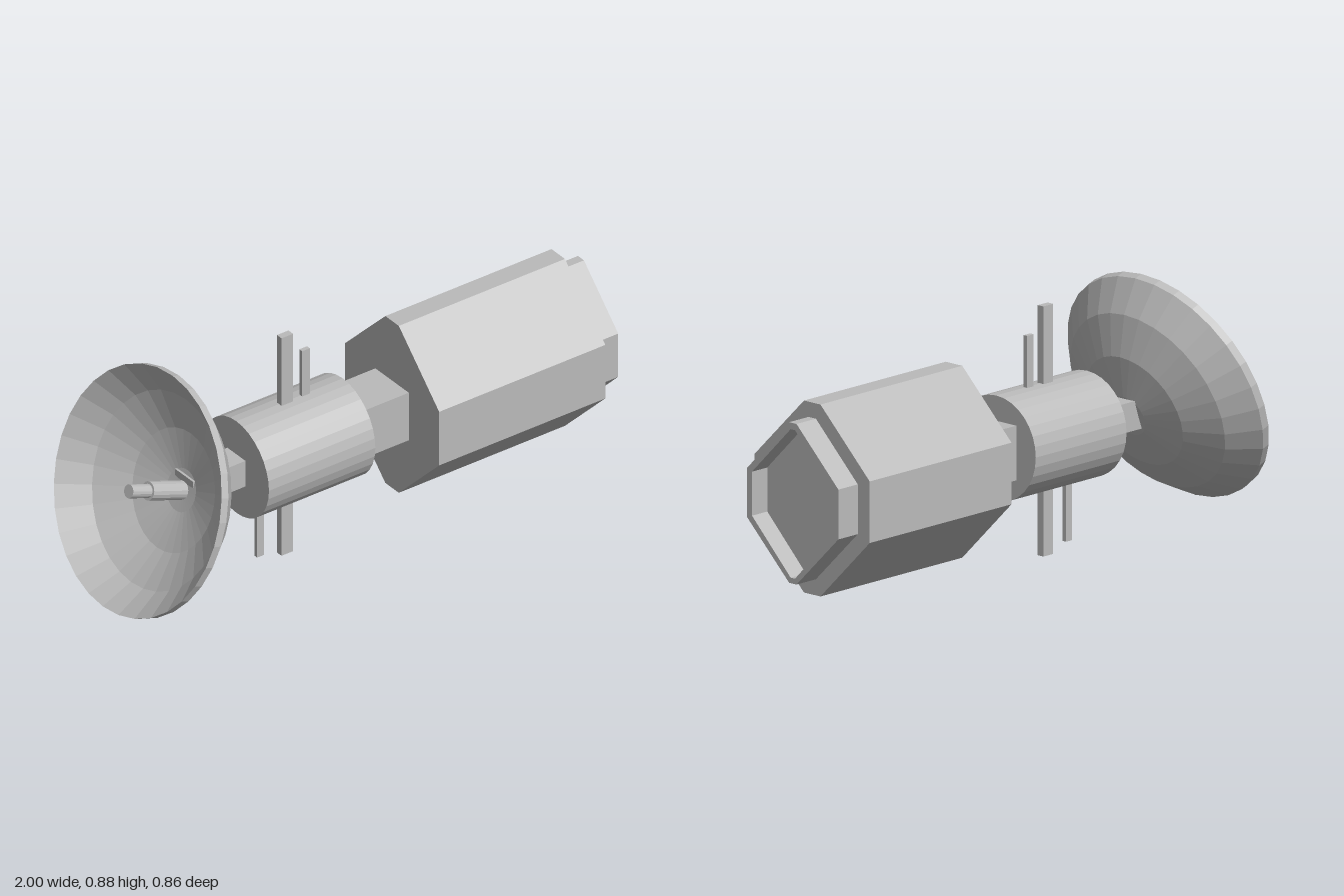
import * as THREE from 'three';

const grey = new THREE.MeshStandardMaterial({ color: 0xbababa });
grey.name = 'satelliteGrey';

// Split faces so that every facet is shaded flat
function flat(geometry) {
  const g = geometry.index ? geometry.toNonIndexed() : geometry;
  g.computeVertexNormals();
  return g;
}

function add(parent, name, geometry) {
  const mesh = new THREE.Mesh(flat(geometry), grey);
  mesh.name = name;
  parent.add(mesh);
  return mesh;
}

// Box given by its x and y limits and its half depth
function box(parent, name, x0, x1, y0, y1, halfZ) {
  const mesh = add(parent, name, new THREE.BoxGeometry(x1 - x0, y1 - y0, halfZ * 2));
  mesh.position.set((x0 + x1) / 2, (y0 + y1) / 2, 0);
}

// Eight-cornered outline: narrow flats above and below, long flats at the sides
function outline([top, bottom, flatHalf, sideHalf, sideTop, sideBottom]) {
  return [
    [flatHalf, bottom], [sideHalf, sideBottom], [sideHalf, sideTop], [flatHalf, top],
    [-flatHalf, top], [-sideHalf, sideTop], [-sideHalf, sideBottom], [-flatHalf, bottom],
  ].map(([z, y]) => new THREE.Vector2(z, y));
}

function prism(parent, name, dims, x0, x1, holeDims) {
  const shape = new THREE.Shape(outline(dims));
  if (holeDims) shape.holes.push(new THREE.Path(outline(holeDims)));
  const g = new THREE.ExtrudeGeometry(shape, { depth: x1 - x0, bevelEnabled: false });
  g.rotateY(Math.PI / 2);
  add(parent, name, g).position.x = x0;
}

export function createModel() {
  const model = new THREE.Group();
  model.name = 'satellite';

  // Main module with a recessed end collar
  const collar = [0.697, 0.139, 0.017, 0.21, 0.504, 0.331];
  const recess = [0.674, 0.158, 0.01, 0.188, 0.494, 0.341];
  prism(model, 'mainModule', [0.75, 0.083, 0.038, 0.265, 0.524, 0.31], 0.21, 0.905);
  prism(model, 'endCollar', collar, 0.905, 1, recess);
  prism(model, 'recessFloor', recess, 0.905, 0.925);

  // Middle drum and the square struts on either side
  const drum = new THREE.CylinderGeometry(0.183, 0.183, 0.445, 32);
  drum.rotateZ(Math.PI / 2);
  add(model, 'drum', drum).position.set(-0.2185, 0.417, 0);
  box(model, 'moduleStrut', 0, 0.215, 0.322, 0.512, 0.094);
  box(model, 'dishStrut', -0.66, -0.43, 0.366, 0.468, 0.051);

  // Antenna blades
  box(model, 'longAntenna', -0.262, -0.214, 0, 0.869, 0.013);
  box(model, 'upperAntenna', -0.172, -0.14, 0.5, 0.78, 0.008);
  box(model, 'lowerAntenna', -0.36, -0.331, 0.028, 0.35, 0.008);

  // Tilted dish, with its axis along local y and its opening at y = 0
  const dish = new THREE.Group();
  dish.name = 'dish';
  dish.position.set(-0.854, 0.48, 0);
  dish.rotation.z = -1.918;
  model.add(dish);

  const shell = [[0.43, 0.03], [0.34, 0.122], [0.212, 0.19], [0.075, 0.224], [0, 0.228]];
  const inner = shell.map(([r, y]) => new THREE.Vector2(r, y - 0.03)).reverse();
  const outer = shell.map(([r, y]) => new THREE.Vector2(r, y));
  add(dish, 'dishShell', new THREE.LatheGeometry([...inner, ...outer], 32));

  // Feed horn in two steps
  add(dish, 'feedBase', new THREE.CylinderGeometry(0.033, 0.033, 0.16, 16)).position.y = 0.125;
  add(dish, 'feedTip', new THREE.CylinderGeometry(0.024, 0.024, 0.09, 16)).position.y = 0.005;

  return model;
}
